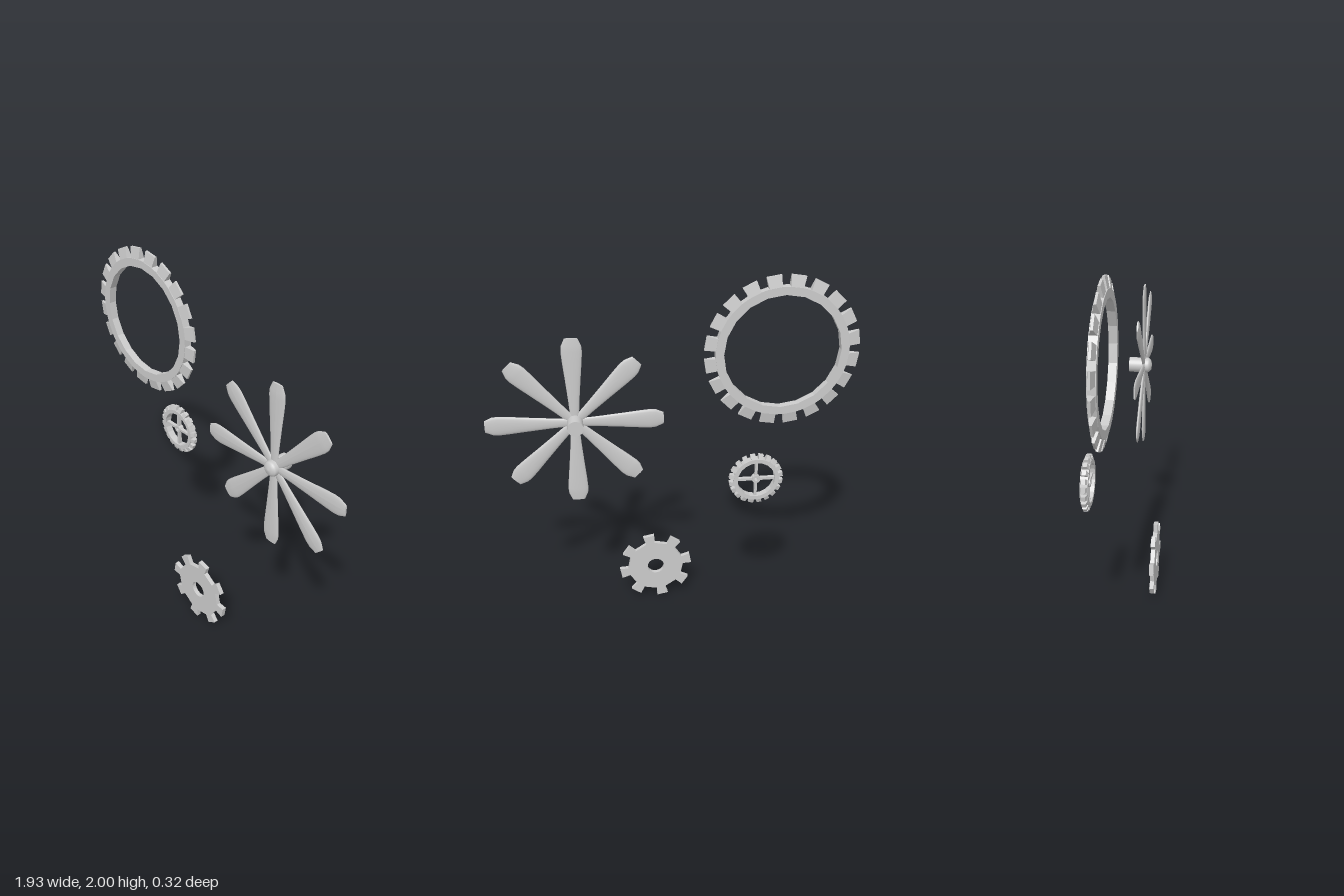
import * as THREE from 'three';

const material = new THREE.MeshStandardMaterial({ color: 0xcccccc, flatShading: true });
const smooth = new THREE.MeshStandardMaterial({ color: 0xcccccc });

function addMesh(parent, name, geometry, mat = material) {
  const mesh = new THREE.Mesh(geometry, mat);
  mesh.name = name;
  parent.add(mesh);
  return mesh;
}

// Flat disc with a hole, centred on z = 0
function annulus(outer, holeRadius, holeSides, depth) {
  const shape = new THREE.Shape(outer);
  const hole = [];
  for (let i = 0; i < holeSides; i++) {
    const a = (i / holeSides) * Math.PI * 2;
    hole.push(new THREE.Vector2(Math.cos(a) * holeRadius, Math.sin(a) * holeRadius));
  }
  shape.holes.push(new THREE.Path(hole));
  return new THREE.ExtrudeGeometry(shape, { depth, bevelEnabled: false }).translate(0, 0, -depth / 2);
}

// Tooth pointing along +x; width and thickness change from root to tip
function toothGeometry(p) {
  const start = p.root * Math.cos(p.toothAngle / 2);
  const geo = new THREE.BoxGeometry(1, 1, 1);
  const pos = geo.attributes.position;
  for (let i = 0; i < pos.count; i++) {
    const tip = pos.getX(i) > 0;
    pos.setXYZ(i,
      tip ? p.tip : start,
      pos.getY(i) * (tip ? p.tipWidth : 2 * p.root * Math.sin(p.toothAngle / 2)),
      pos.getZ(i) * (tip ? p.tipDepth : p.rootDepth));
  }
  geo.computeVertexNormals();
  return geo;
}

function gear(name, p) {
  const group = new THREE.Group();
  group.name = name;
  const outline = [];
  const tooth = toothGeometry(p);
  for (let i = 0; i < p.teeth; i++) {
    const a = p.phase + (i / p.teeth) * Math.PI * 2;
    for (const side of [-0.5, 0.5]) {
      const b = a + side * p.toothAngle;
      outline.push(new THREE.Vector2(Math.cos(b) * p.root, Math.sin(b) * p.root));
    }
    addMesh(group, 'tooth', tooth).rotation.z = a;
  }
  addMesh(group, 'gearBody', annulus(outline, p.hole, p.holeSides, p.depth));
  return group;
}

// Fan blade along +y: [distance, half width, half thickness] rings of an ellipse
function bladeGeometry() {
  const rings = [
    [0.02, 0.022, 0.008], [0.12, 0.029, 0.009], [0.24, 0.04, 0.01], [0.34, 0.05, 0.01],
    [0.395, 0.054, 0.01], [0.425, 0.051, 0.009], [0.465, 0.033, 0.005],
  ];
  const last = rings.length - 1;
  const geo = new THREE.CylinderGeometry(1, 1, 1, 16, last);
  const pos = geo.attributes.position;
  for (let i = 0; i < pos.count; i++) {
    const [y, w, t] = rings[Math.round((pos.getY(i) + 0.5) * last)];
    pos.setXYZ(i, pos.getX(i) * w, y, pos.getZ(i) * t);
  }
  geo.computeVertexNormals();
  return geo;
}

export function createModel() {
  const model = new THREE.Group();
  model.name = 'gearsAndFan';
  const deg = Math.PI / 180;

  // Large open ring gear with wedge teeth
  const ring = gear('ringGear', {
    teeth: 20, phase: 9 * deg, toothAngle: 11 * deg, root: 0.345, tip: 0.401, tipWidth: 0.078,
    rootDepth: 0.036, tipDepth: 0.012, hole: 0.303, holeSides: 20, depth: 0.042,
  });
  ring.position.set(-0.565, 1.597, -0.036);
  model.add(ring);

  // Small spoked gear
  const small = gear('spokedGear', {
    teeth: 20, phase: 9 * deg, toothAngle: 11 * deg, root: 0.121, tip: 0.144, tipWidth: 0.026,
    rootDepth: 0.036, tipDepth: 0.02, hole: 0.1, holeSides: 20, depth: 0.04,
  });
  for (let i = 0; i < 4; i++) {
    const spoke = new THREE.BoxGeometry(0.086, 0.014, 0.02).translate(0.061, 0, 0);
    addMesh(small, 'spoke', spoke).rotation.z = i * Math.PI / 2;
  }
  const hubOutline = new THREE.Shape().absarc(0, 0, 0.022, 0, Math.PI * 2).getPoints(8);
  addMesh(small, 'spokeHub', annulus(hubOutline, 0.01, 12, 0.03));
  small.position.set(-0.435, 0.925, -0.142);
  model.add(small);

  // Flat eight-tooth gear
  const flat = gear('flatGear', {
    teeth: 8, phase: 34 * deg, toothAngle: 18 * deg, root: 0.16, tip: 0.207, tipWidth: 0.064,
    rootDepth: 0.024, tipDepth: 0.024, hole: 0.048, holeSides: 24, depth: 0.024,
  });
  flat.position.set(0.073, 0.21, 0.15);
  model.add(flat);

  // Fan with eight blades
  const fan = new THREE.Group();
  fan.name = 'fan';
  const blade = bladeGeometry();
  for (let i = 0; i < 8; i++) {
    addMesh(fan, 'blade', blade, smooth).rotation.z = i * Math.PI / 4;
  }
  // Hub: straight shaft behind, domed nose in front
  const profile = [[0, -0.083], [0.042, -0.083], [0.042, -0.083], [0.042, 0.022],
    [0.038, 0.031], [0.025, 0.041], [0, 0.045]].map(([r, y]) => new THREE.Vector2(r, y));
  addMesh(fan, 'hub', new THREE.LatheGeometry(profile, 24).rotateX(Math.PI / 2), smooth);
  fan.position.set(0.5, 1.225, 0.032);
  model.add(fan);

  return model;
}
